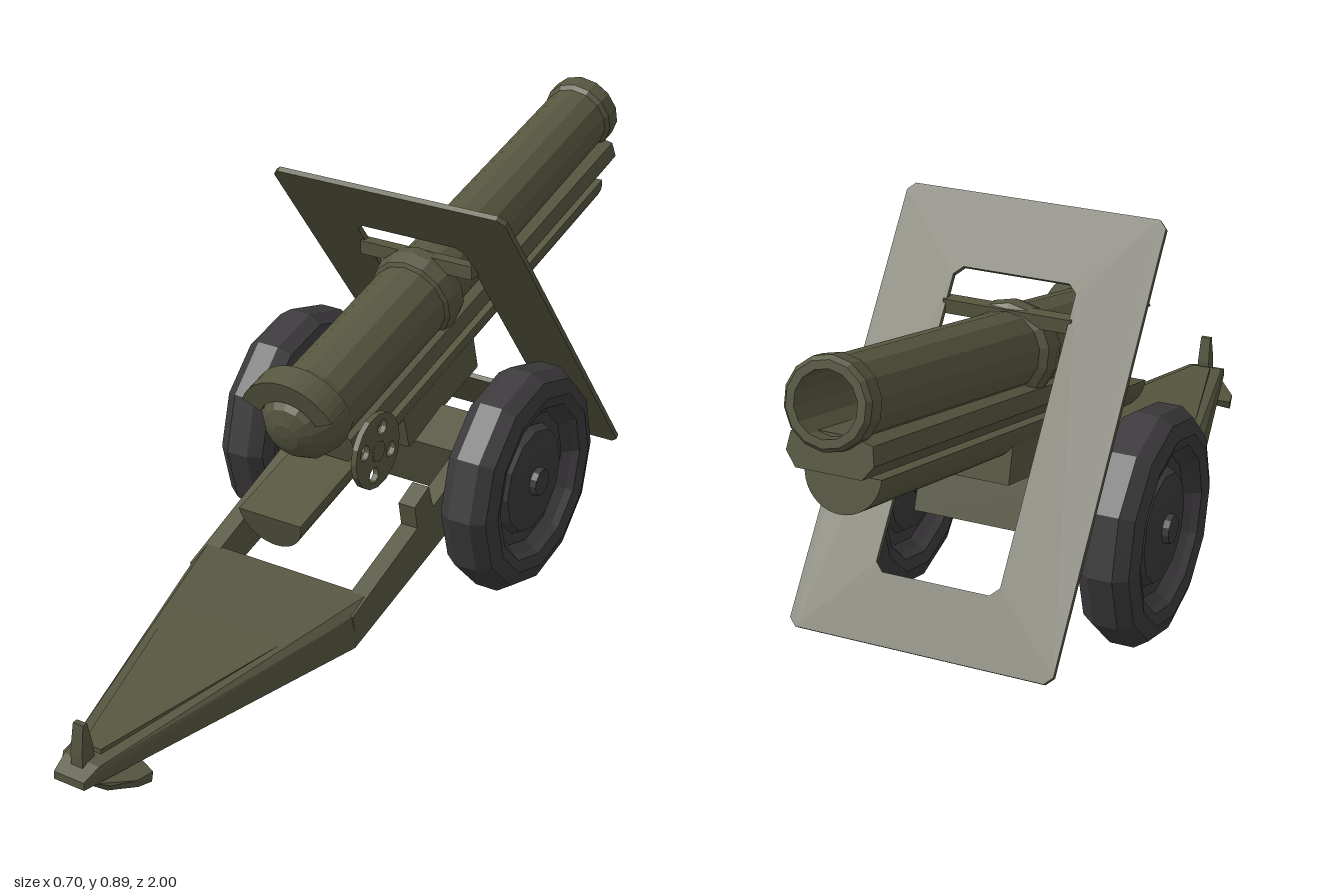
import * as THREE from 'three';
import { ConvexGeometry } from 'three/addons/geometries/ConvexGeometry.js';

const olive = new THREE.MeshStandardMaterial({ color: 0x55553f, flatShading: true });
const rubber = new THREE.MeshStandardMaterial({ color: 0x3b393b, flatShading: true });

const v2 = (pts) => pts.map(([x, y]) => new THREE.Vector2(x, y));

function add(parent, name, geometry, material = olive, x = 0, y = 0, z = 0) {
  const mesh = new THREE.Mesh(geometry, material);
  mesh.name = name;
  mesh.position.set(x, y, z);
  parent.add(mesh);
  return mesh;
}

// Outline in x/y, running from z0 to z1
function prism(shape, z0, z1, curveSegments = 8) {
  const geo = new THREE.ExtrudeGeometry(shape, { depth: z1 - z0, bevelEnabled: false, curveSegments });
  return geo.translate(0, 0, z0);
}

// Outline in z/y, with a thickness across x
function sidePrism(shape, width, curveSegments = 12) {
  return prism(shape, -width / 2, width / 2, curveSegments).rotateY(-Math.PI / 2);
}

// Solid between rectangular sections [z, halfWidth, bottom, top]
function hull(sections) {
  const pts = [];
  for (const [z, w, b, t] of sections)
    for (const x of [-w, w]) for (const y of [b, t]) pts.push(new THREE.Vector3(x, y, z));
  return new ConvexGeometry(pts);
}

// Rectangle with cut corners
function cutRect(Type, x0, x1, y0, y1, c) {
  return new Type(v2([[x0 + c, y0], [x1 - c, y0], [x1, y0 + c], [x1, y1 - c],
    [x1 - c, y1], [x0 + c, y1], [x0, y1 - c], [x0, y0 + c]]));
}

function makeGun() {
  // Local z runs backwards along the bore, origin at the collar
  const gun = new THREE.Group();
  gun.name = 'gun';
  gun.position.set(0.004, 0.612, -0.22);
  gun.rotation.x = 0.269;

  const profile = v2([
    [0, -0.5], [0.06, -0.5], [0.062, -0.784], [0.078, -0.784], [0.086, -0.775], [0.086, -0.738],
    [0.078, -0.728], [0.082, -0.04], [0.098, -0.03], [0.104, 0], [0.098, 0.03], [0.089, 0.035],
    [0.089, 0.41], [0.094, 0.42], [0.094, 0.45], [0.085, 0.485], [0.06, 0.512], [0.03, 0.525], [0, 0.528],
  ]);
  add(gun, 'barrel', new THREE.LatheGeometry(profile, 14).rotateX(Math.PI / 2));

  // Arched lip over the breech
  const arch = new THREE.Shape();
  arch.absarc(0, 0, 0.122, 0.45, Math.PI - 0.45, false);
  arch.absarc(0, 0, 0.075, Math.PI - 0.45, 0.45, true);
  add(gun, 'breechLip', prism(arch, 0.445, 0.505));

  // Slide with wedge-shaped edges under the barrel
  const slide = new THREE.Shape(v2([[-0.065, -0.128], [0.065, -0.128], [0.086, -0.1],
    [0.08, -0.065], [0.04, -0.055], [-0.04, -0.055], [-0.08, -0.065], [-0.086, -0.1]]));
  add(gun, 'slide', prism(slide, -0.75, 0.42));

  // Round-bottomed recoil cradle
  const cradle = new THREE.Shape();
  cradle.absarc(0, -0.135, 0.076, Math.PI, 2 * Math.PI, false);
  cradle.closePath();
  add(gun, 'cradle', prism(cradle, -0.694, 0.625, 10));
  add(gun, 'saddle', new THREE.BoxGeometry(0.13, 0.11, 0.3), olive, 0, -0.2, 0.06);
  return gun;
}

function makeShield() {
  const outline = cutRect(THREE.Shape, -0.284, 0.284, -0.468, 0.468, 0.016);
  outline.holes.push(cutRect(THREE.Path, -0.134, 0.134, -0.326, 0.31, 0.018));
  return prism(outline, -0.006, 0.006);
}

function makeWheel() {
  const wheel = new THREE.Group();
  wheel.name = 'wheel';
  const lathe = (pts, n) => new THREE.LatheGeometry(v2(pts), n).rotateZ(-Math.PI / 2);
  const half = [[0.165, 0.04], [0.175, 0.057], [0.2, 0.065], [0.232, 0.054], [0.251, 0.026]];
  const mirrored = half.map(([r, y]) => [r, -y]);
  add(wheel, 'tyre', lathe([...mirrored, ...half.slice().reverse()], 12), rubber);

  const disc = [[0.166, 0.042], [0.15, 0.024], [0.125, 0.022], [0.115, 0.04],
    [0.07, 0.046], [0.032, 0.046], [0.03, 0.06], [0, 0.06]];
  const back = disc.map(([r, y]) => [r, -y]).reverse();
  add(wheel, 'rim', lathe([...back, ...disc], 12), rubber);
  return wheel;
}

function makeHandwheel() {
  const face = new THREE.Shape().absarc(0, 0, 0.084, 0, Math.PI * 2, false);
  for (let i = 0; i < 4; i++) {
    const a = i * Math.PI / 2 + 0.3;
    face.holes.push(new THREE.Path().absarc(0.052 * Math.cos(a), 0.052 * Math.sin(a), 0.017, 0, Math.PI * 2, true));
  }
  return sidePrism(face, 0.013, 8);
}

export function createModel() {
  const model = new THREE.Group();
  model.name = 'fieldGun';
  model.add(makeGun());

  // Shield and the bar holding it at the collar
  add(model, 'shield', makeShield(), olive, 0.004, 0.513, -0.374).rotation.x = 0.664;
  add(model, 'shieldBracket', new THREE.BoxGeometry(0.28, 0.03, 0.03), olive, 0.004, 0.69, -0.222);

  // Elevation handwheel on the left side
  const shaft = new THREE.CylinderGeometry(0.024, 0.024, 0.08, 8).rotateZ(Math.PI / 2);
  add(model, 'handwheel', makeHandwheel(), olive, 0.106, 0.395, 0.107);
  add(model, 'handwheelShaft', shaft, olive, 0.075, 0.395, 0.107);

  // Wheels, axle and cross beam
  for (const side of [-1, 1]) {
    const wheel = makeWheel();
    wheel.position.set(side * 0.283, 0.258, -0.187);
    model.add(wheel);
  }
  const axle = new THREE.CylinderGeometry(0.032, 0.032, 0.52, 10).rotateZ(Math.PI / 2);
  add(model, 'axle', axle, rubber, 0, 0.258, -0.187);
  add(model, 'axleBeam', new THREE.BoxGeometry(0.41, 0.14, 0.12), olive, 0, 0.272, -0.19).rotation.x = 0.36;

  // Trail rails
  const rail = new THREE.Shape(v2([[0.33, 0.07], [0.345, 0.145], [-0.24, 0.362], [-0.24, 0.235], [0.03, 0.155]]));
  for (const side of [-1, 1])
    add(model, 'trailRail', sidePrism(rail, 0.04), olive, side * 0.185, 0, 0);
  const stop = new THREE.Shape(v2([[0.095, 0.22], [0.11, 0.29], [0.055, 0.315], [0.03, 0.24]]));
  add(model, 'railBlock', sidePrism(stop, 0.04), olive, 0.185, 0, 0);

  // Tapering trail with a raised panel
  add(model, 'trail', hull([[0.285, 0.2, 0.085, 0.166], [0.335, 0.205, 0.068, 0.144],
    [0.96, 0.042, 0.045, 0.078], [1.0, 0.036, 0.045, 0.062]]));
  add(model, 'trailPanel', hull([[0.36, 0.172, 0.1, 0.153], [0.93, 0.022, 0.06, 0.092]]));

  // Lifting post and ground spade at the trail end
  add(model, 'liftingPost', hull([[0.94, 0.014, 0.06, 0.1], [0.953, 0.012, 0.06, 0.16],
    [0.965, 0.012, 0.06, 0.16], [0.975, 0.014, 0.06, 0.1]]));
  for (const side of [-1, 1]) {
    const spade = [[0, 0.86, 0.05], [0, 0.97, 0.05], [0, 0.96, 0.025], [0, 0.87, 0.025],
      [0.04, 0.97, 0.045], [0.04, 0.85, 0.045], [0.097, 0.87, 0.036], [0.09, 0.91, 0.036],
      [0.06, 0.95, 0.036], [0.097, 0.875, 0.016], [0.088, 0.905, 0.018], [0.05, 0.95, 0.022]]
      .map(([x, z, y]) => new THREE.Vector3(side * x, y, z));
    add(model, 'spade', new ConvexGeometry(spade));
  }
  return model;
}
